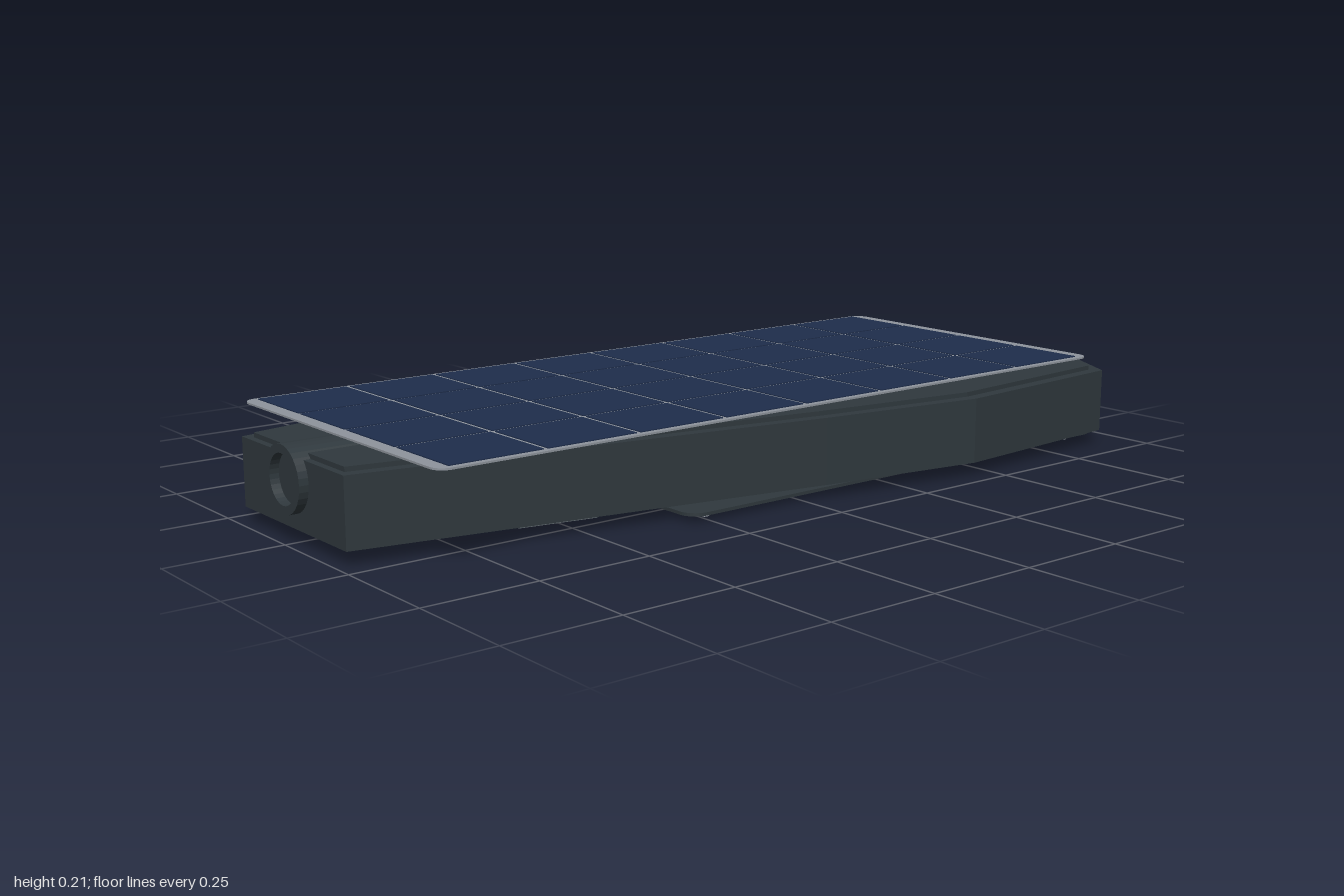
import * as THREE from 'three';

const mat = (color) => new THREE.MeshStandardMaterial({ color, flatShading: true });
const shell = mat(0x2f383d), frameGrey = mat(0x8e949c), cellBlue = mat(0x1e2d4b);
const lensGrey = mat(0xb8c0c4), screwGrey = mat(0x9aa0a6), slotGrey = mat(0x5c656a);

// Horizontal slab from y0 to y1 with the given plan shape
function slab(name, shape, y0, y1, material) {
  const geo = new THREE.ExtrudeGeometry(shape, { depth: y1 - y0, bevelEnabled: false, curveSegments: 5 });
  geo.rotateX(-Math.PI / 2);
  const mesh = new THREE.Mesh(geo, material);
  mesh.position.y = y0;
  mesh.name = name;
  return mesh;
}

// Plan mirrored across z = 0 from its half outline [x, half width]
function mirrored(half) {
  const other = half.slice().reverse().map(([x, w]) => [x, -w]);
  return new THREE.Shape([...other, ...half].map(([x, w]) => new THREE.Vector2(x, w)));
}

function roundedRect(x0, x1, w, r) {
  const s = new THREE.Shape();
  s.moveTo(x0 + r, -w);
  s.lineTo(x1 - r, -w);
  s.absarc(x1 - r, -w + r, r, -Math.PI / 2, 0);
  s.absarc(x1 - r, w - r, r, 0, Math.PI / 2);
  s.absarc(x0 + r, w - r, r, Math.PI / 2, Math.PI);
  s.absarc(x0 + r, -w + r, r, Math.PI, Math.PI * 1.5);
  return s;
}

function box(name, x, y, z, w, h, d, material) {
  const mesh = new THREE.Mesh(new THREE.BoxGeometry(w, h, d), material);
  mesh.position.set(x, y, z);
  mesh.name = name;
  return mesh;
}

export function createModel() {
  const model = new THREE.Group();
  model.name = 'solarStreetLight';

  // Housing with a slightly inset upper tier
  model.add(slab('housing', mirrored([
    [1, 0.27], [0.92, 0.42], [0.44, 0.46], [0.05, 0.4], [-0.98, 0.208],
  ]), 0.03, 0.175, shell));
  model.add(slab('housingLid', mirrored([
    [0.96, 0.26], [0.9, 0.395], [0.44, 0.433], [0.05, 0.375], [-0.965, 0.185],
  ]), 0.175, 0.185, shell));

  // Ribs carrying the solar panel
  const ribs = new THREE.Group();
  ribs.name = 'panelRibs';
  for (let i = 0; i < 7; i++) {
    ribs.add(box('rib', -0.115 + i * 0.139, 0.194, 0, 0.03, 0.02, 0.64, shell));
  }
  model.add(ribs);

  // Solar panel: frame and an 8 by 4 grid of cells
  const panel = new THREE.Group();
  panel.name = 'solarPanel';
  panel.add(slab('panelFrame', roundedRect(-0.89, 0.905, 0.392, 0.03), 0.203, 0.207, frameGrey));
  const pitchX = 1.74 / 8, pitchZ = 0.766 / 4;
  for (let i = 0; i < 8; i++) {
    for (let j = 0; j < 4; j++) {
      panel.add(box('solarCell', -0.865 + (i + 0.5) * pitchX, 0.2075,
        (j - 1.5) * pitchZ, pitchX - 0.01, 0.003, pitchZ - 0.009, cellBlue));
    }
  }
  model.add(panel);

  // Hollow pole socket at the narrow end
  const socketMat = new THREE.MeshStandardMaterial({ color: 0x2f383d, side: THREE.DoubleSide, flatShading: true });
  const profile = [[0, 0.02], [0.052, 0.02], [0.052, 0], [0.07, 0], [0.07, 0.22], [0, 0.22]]
    .map(([r, h]) => new THREE.Vector2(r, h));
  const socket = new THREE.Mesh(new THREE.LatheGeometry(profile, 32), socketMat);
  socket.name = 'poleSocket';
  socket.rotation.z = -Math.PI / 2;
  socket.position.set(-1, 0.13, 0);
  model.add(socket);

  // Lamp under the wide end: backing, rim, lens and corner screws
  const lamp = new THREE.Group();
  lamp.name = 'lamp';
  lamp.add(box('lampBacking', 0.35, 0.025, 0, 1.04, 0.012, 0.46, shell));
  lamp.add(slab('lampRim', roundedRect(-0.3, 0.95, 0.382, 0.04), 0.013, 0.02, shell));
  lamp.add(slab('lampLens', roundedRect(-0.29, 0.94, 0.372, 0.035), 0.011, 0.014, lensGrey));
  for (const x of [-0.235, 0.88]) {
    for (const z of [-0.34, 0.34]) {
      const screw = new THREE.Mesh(new THREE.CylinderGeometry(0.011, 0.011, 0.012, 12), screwGrey);
      screw.name = 'lensScrew';
      screw.position.set(x, 0.006, z);
      lamp.add(screw);
    }
  }
  model.add(lamp);

  // Tapered service hatch under the narrow end, with seam strips
  const hatch = new THREE.Group();
  hatch.name = 'serviceHatch';
  hatch.add(slab('hatchPlate', mirrored([[-0.17, 0.335], [-0.87, 0.205]]), 0.023, 0.031, shell));
  hatch.add(box('endStrip', -0.885, 0.028, 0, 0.02, 0.006, 0.4, slotGrey));
  for (const side of [-1, 1]) {
    const strip = box('sideStrip', -0.55, 0.028, side * 0.27, 0.17, 0.006, 0.012, slotGrey);
    strip.rotation.y = -side * 0.184;
    hatch.add(strip);
  }
  model.add(hatch);

  return model;
}
